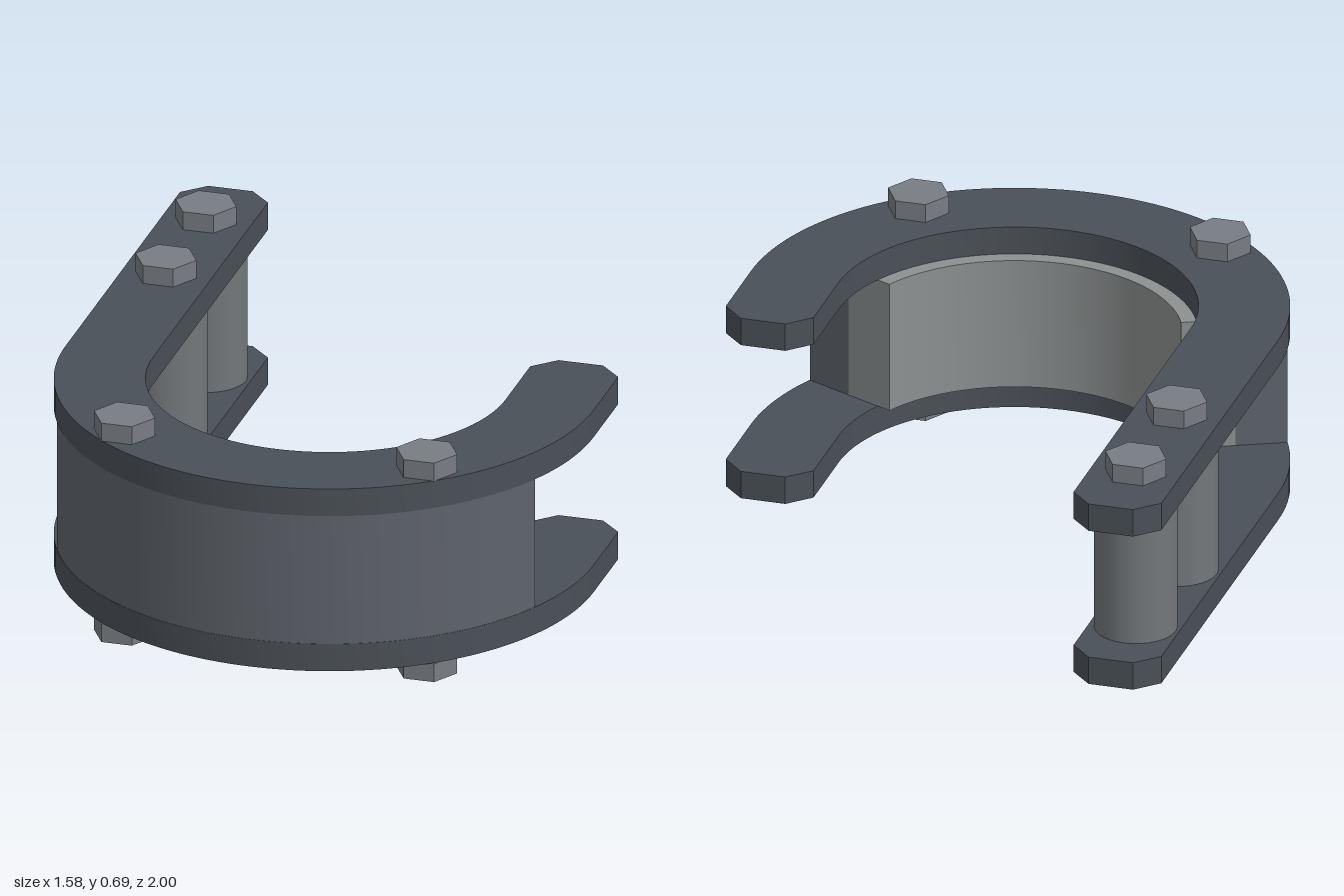
import * as THREE from 'three';
import { toCreasedNormals } from 'three/addons/utils/BufferGeometryUtils.js';

const CZ = 0.21;                 // centre of the bend
const R_OUT = 0.79, R_IN = 0.527;
const PLATE = 0.085, LOW = 0.06, GAP_LOW = 0.145, GAP_HIGH = 0.545;

const material = (color) => new THREE.MeshStandardMaterial({ color });

// Extrude a plan outline (shape y = world z) upward from y0
function slab(shape, y0, height) {
  const g = new THREE.ExtrudeGeometry(shape, { depth: height, bevelEnabled: false, curveSegments: 40 });
  g.rotateX(Math.PI / 2);
  g.translate(0, y0 + height, 0);
  return toCreasedNormals(g, 0.4);
}

// J-shaped side plate with chamfered arm tips
function plateShape() {
  const c = 0.065, shortEnd = -0.1, longEnd = -1;
  const s = new THREE.Shape();
  s.moveTo(R_OUT, shortEnd + c);
  s.lineTo(R_OUT, CZ);
  s.absarc(0, CZ, R_OUT, 0, Math.PI, false);
  s.lineTo(-R_OUT, longEnd + c);
  s.lineTo(-R_OUT + c, longEnd);
  s.lineTo(-R_IN - c, longEnd);
  s.lineTo(-R_IN, longEnd + c);
  s.lineTo(-R_IN, CZ);
  s.absarc(0, CZ, R_IN, Math.PI, 0, true);
  s.lineTo(R_IN, shortEnd + c);
  s.lineTo(R_IN + c, shortEnd);
  s.lineTo(R_OUT - c, shortEnd);
  s.closePath();
  return s;
}

// Ring sector with radial ends
function sectorShape(rIn, rOut) {
  const a = THREE.MathUtils.degToRad(25);
  const s = new THREE.Shape();
  s.absarc(0, CZ, rOut, a, Math.PI - a, false);
  s.absarc(0, CZ, rIn, Math.PI - a, a, true);
  s.closePath();
  return s;
}

export function createModel() {
  const group = new THREE.Group();
  const plateMat = material(0x4a5057);
  const blockMat = material(0x5e636b);
  const linerMat = material(0x8c9090);
  const pinMat = material(0x72777a);
  const boltMat = material(0x787d83);

  const add = (name, geometry, mat, x = 0, y = 0, z = 0) => {
    const mesh = new THREE.Mesh(geometry, mat);
    mesh.name = name;
    mesh.position.set(x, y, z);
    group.add(mesh);
  };

  // Two side plates
  add('lowerPlate', slab(plateShape(), LOW, PLATE), plateMat);
  add('upperPlate', slab(plateShape(), GAP_HIGH, PLATE), plateMat);

  // Curved spacer block and its inner liner
  const gap = GAP_HIGH - GAP_LOW;
  add('spacerBlock', slab(sectorShape(0.64, R_OUT - 0.001), GAP_LOW, gap), blockMat);
  add('innerLiner', slab(sectorShape(0.482, 0.64), GAP_LOW, gap), linerMat);

  // Round spacer pins in the long arm
  const armX = -0.66, pinZ = [-0.36, -0.76];
  const pin = new THREE.CylinderGeometry(0.12, 0.12, gap, 32);
  for (const z of pinZ) add('spacerPin', pin, pinMat, armX, (GAP_LOW + GAP_HIGH) / 2, z);

  // Hexagonal bolt heads above and below, corners along x
  const headHeight = 0.057;
  const head = new THREE.CylinderGeometry(0.091, 0.091, headHeight, 6).toNonIndexed();
  head.rotateY(Math.PI / 2);
  head.computeVertexNormals();
  const boltSpots = [...pinZ.map((z) => [armX, z]), [-0.452, 0.748], [0.452, 0.748]];
  for (const [x, z] of boltSpots) {
    add('lowerBoltHead', head, boltMat, x, 0.06 - headHeight / 2 - 0.002, z);
    add('upperBoltHead', head, boltMat, x, GAP_HIGH + PLATE + headHeight / 2 - 0.001, z);
  }
  return group;
}
